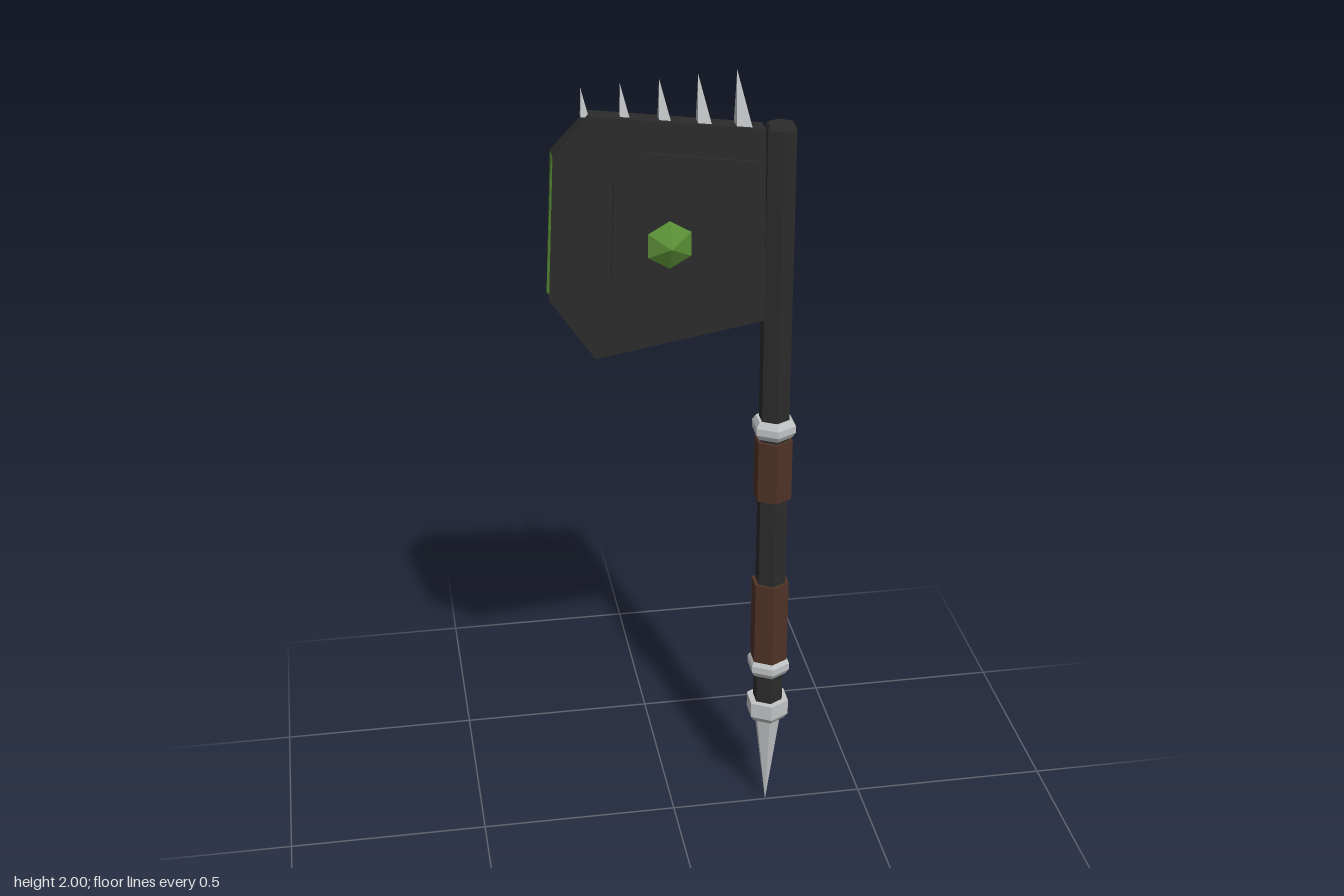
import * as THREE from 'three';

const mat = (name, color) => {
  const m = new THREE.MeshStandardMaterial({ color, flatShading: true, side: THREE.DoubleSide });
  m.name = name;
  return m;
};

export function createModel() {
  const iron = mat('blackIron', 0x2b2b2b);
  const steel = mat('steel', 0xc2c5c6);
  const leather = mat('brownLeather', 0x4f3326);
  const green = mat('glowGreen', 0x5b8f36);

  const model = new THREE.Group();
  model.name = 'axe';
  const SHAFT_X = 0.246;

  const add = (name, geometry, material, parent = model) => {
    const mesh = new THREE.Mesh(geometry, material);
    mesh.name = name;
    parent.add(mesh);
    return mesh;
  };

  // Six-sided turned part on the shaft axis; profile is [radius, y] from bottom to top
  const turned = (name, profile, material) => {
    const pts = profile.map(([r, y]) => new THREE.Vector2(r, y));
    add(name, new THREE.LatheGeometry(pts, 6), material).position.x = SHAFT_X;
  };

  // Flat-faced geometry from quads of corner points
  const quads = (list) => {
    const pos = [];
    for (const [a, b, c, d] of list) for (const p of [a, b, c, a, c, d]) pos.push(...p);
    const g = new THREE.BufferGeometry();
    g.setAttribute('position', new THREE.Float32BufferAttribute(pos, 3));
    g.computeVertexNormals();
    return g;
  };

  // Shaft, grips, collars and foot spike
  turned('shaft', [[0, 0.3], [0.039, 0.3], [0.039, 1.86], [0.034, 1.87], [0, 1.87]], iron);
  for (const [y0, y1] of [[0.45, 0.675], [0.915, 1.075]])
    turned('grip', [[0.03, y0], [0.049, y0], [0.049, y1], [0.03, y1]], leather);
  for (const y of [0.43, 1.107])
    turned('collar', [[0.035, y - 0.023], [0.047, y - 0.023], [0.056, y - 0.009],
      [0.056, y + 0.009], [0.047, y + 0.023], [0.035, y + 0.023]], steel);
  turned('footCollar', [[0.03, 0.27], [0.045, 0.27], [0.056, 0.285], [0.056, 0.326], [0.035, 0.326]], steel);
  turned('footSpike', [[0, 0], [0.035, 0.272]], steel);

  // Blade outline, anticlockwise from the top corner beside the shaft
  const outline = [[0.207, 1.866], [-0.195, 1.917], [-0.278, 1.829], [-0.295, 1.484], [-0.19, 1.329], [0.213, 1.398]];
  const T = 0.026;
  const blade = new THREE.Group();
  blade.name = 'blade';
  model.add(blade);
  const shapeOf = (pts) => new THREE.Shape(pts.map(([x, y]) => new THREE.Vector2(x, y)));
  add('bladeFront', new THREE.ShapeGeometry(shapeOf(outline)), iron, blade).position.z = T;
  const back = new THREE.ShapeGeometry(shapeOf(outline.map(([x, y]) => [-x, y]).reverse()));
  back.rotateY(Math.PI);
  add('bladeBack', back, iron, blade).position.z = -T;

  // Plain rim on the top, upper corner and shaft side
  const at = (i, z) => [...outline[i], z];
  add('bladeRim', quads([[0, 1], [1, 2], [5, 0]].map(
    ([a, b]) => [at(a, T), at(a, -T), at(b, -T), at(b, T)])), iron, blade);

  // V-shaped green groove along the cutting edge and underside
  const valley = { 2: [-0.278, 1.829, 0], 3: [-0.266, 1.494, 0], 4: [-0.176, 1.362, 0], 5: [0.213, 1.425, 0] };
  const groove = [];
  for (let i = 2; i < 5; i++) {
    groove.push([at(i, T), valley[i], valley[i + 1], at(i + 1, T)]);
    groove.push([valley[i], at(i, -T), at(i + 1, -T), valley[i + 1]]);
  }
  add('edgeGroove', quads(groove), green, blade);

  // Raised panel on both faces
  const panel = [[0.205, 1.79], [-0.072, 1.828], [-0.142, 1.768], [-0.151, 1.523], [-0.072, 1.414], [0.205, 1.466]];
  for (const side of [1, -1]) {
    const plate = new THREE.ExtrudeGeometry(shapeOf(panel), { depth: 0.009, bevelEnabled: false });
    add('raisedPanel', plate, iron, blade).position.z = side > 0 ? T - 0.001 : -T - 0.008;

    // Six-sided gem point standing just off the panel
    const gem = new THREE.ConeGeometry(0.058, 0.033, 6);
    gem.rotateX(side * Math.PI / 2);
    add('gem', gem, green, blade).position.set(-0.017, 1.61, side * 0.0615);
  }

  // Row of leaning spikes growing towards the shaft
  for (let i = 0; i < 5; i++) {
    const x = -0.202 + i * 0.0903;
    const h = 0.009 + i * 0.0025;
    const tip = [x - h * 0.85, 1.976 + i * 0.006, 0];
    const topAt = (px) => 1.917 - Math.max(0, px + 0.195) * 0.127 - 0.006;
    const base = [[-h, h], [h, h], [h, -h], [-h, -h]].map(([dx, z]) => [x + dx, topAt(x + dx), z]);
    const pos = [];
    base.forEach((p, k) => pos.push(...p, ...base[(k + 1) % 4], ...tip));
    const g = new THREE.BufferGeometry();
    g.setAttribute('position', new THREE.Float32BufferAttribute(pos, 3));
    g.computeVertexNormals();
    add('bladeSpike', g, steel, blade);
  }

  return model;
}
